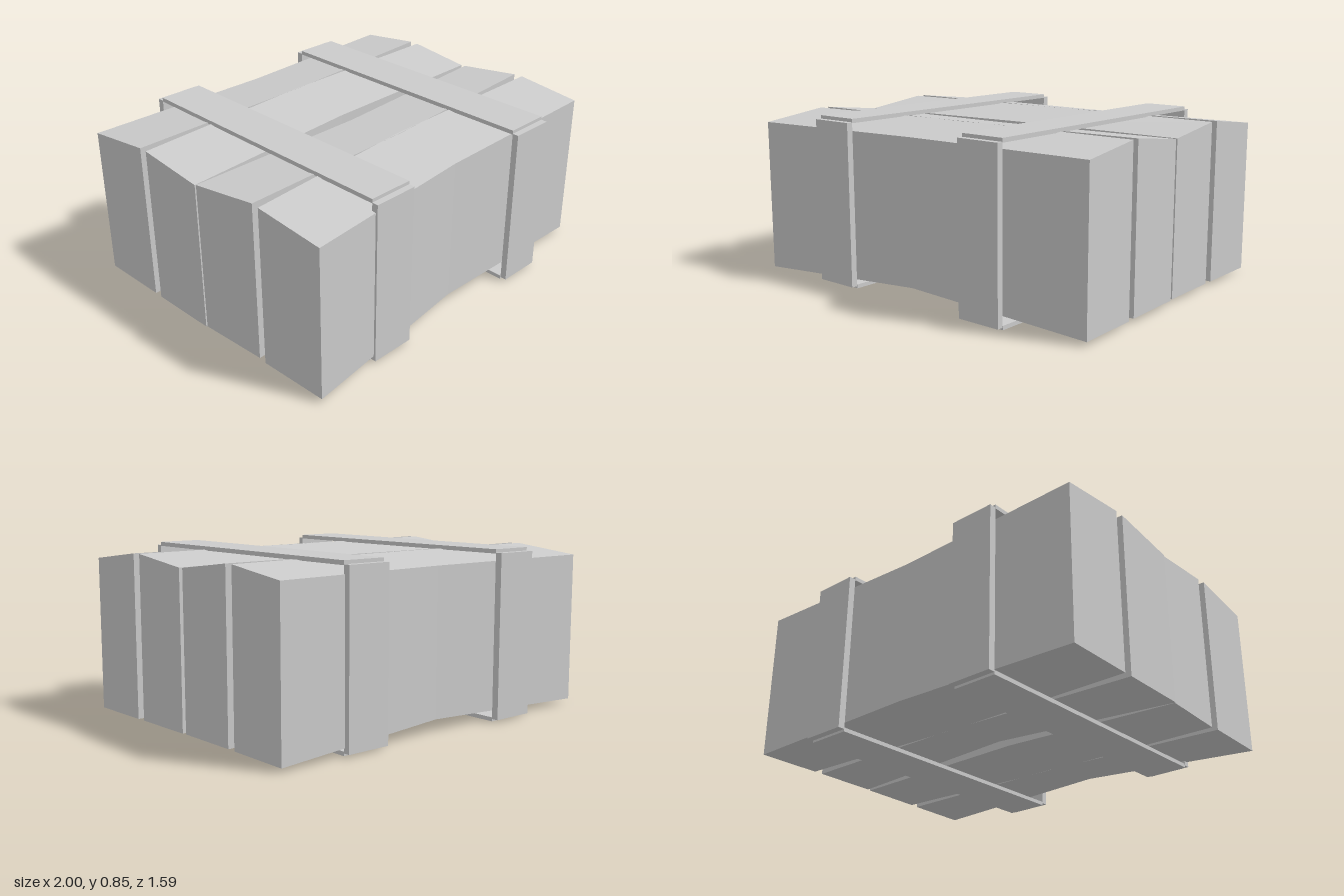
import * as THREE from 'three';

const material = new THREE.MeshStandardMaterial({ color: 0xcccccc, flatShading: true });

// Bent plank: back and front edges in plan as [x, z] at the left end, middle and right end.
// The outer side (back or front) has the lower top edge and an underside arched at the middle.
function plank(name, back, front, outerIsFront) {
  const geometry = new THREE.BoxGeometry(2, 1, 1, 2, 1, 1);
  const p = geometry.attributes.position;
  for (let i = 0; i < p.count; i++) {
    const station = Math.round(p.getX(i)) + 1;
    const isFront = p.getZ(i) > 0;
    const isOuter = isFront === outerIsFront;
    const [x, z] = (isFront ? front : back)[station];
    const top = isOuter ? 0.788 : 0.83;
    const bottom = isOuter && station === 1 ? 0.063 : 0.02;
    p.setXYZ(i, x, p.getY(i) > 0 ? top : bottom, z);
  }
  geometry.computeVertexNormals();
  const mesh = new THREE.Mesh(geometry, material);
  mesh.name = name;
  return mesh;
}

function slat(name, width, y0, y1, z0, z1) {
  const mesh = new THREE.Mesh(new THREE.BoxGeometry(width, y1 - y0, z1 - z0), material);
  mesh.position.set(0, (y0 + y1) / 2, (z0 + z1) / 2);
  mesh.name = name;
  return mesh;
}

export function createModel() {
  const model = new THREE.Group();
  model.name = 'crate';

  // Four thick planks, alternately turned around
  model.add(
    plank('backPlank',
      [[-1, -0.74], [0, -0.735], [0.945, -0.793]],
      [[-0.99, -0.38], [0, -0.4], [0.95, -0.46]], false),
    plank('innerBackPlank',
      [[-0.99, -0.335], [0, -0.405], [0.95, -0.413]],
      [[-0.98, 0.022], [0, -0.06], [0.96, -0.08]], true),
    plank('innerFrontPlank',
      [[-0.975, 0.025], [0, 0.015], [0.965, -0.06]],
      [[-0.95, 0.385], [0, 0.35], [0.98, 0.275]], false),
    plank('frontPlank',
      [[-0.955, 0.43], [0, 0.34], [0.985, 0.32]],
      [[-0.94, 0.79], [0, 0.69], [1, 0.655]], true),
  );

  // Two bands of slats wrapped around the planks
  for (const [name, x] of [['rightBand', -0.475], ['leftBand', 0.48]]) {
    const band = new THREE.Group();
    band.name = name;
    band.add(
      slat('topSlat', 0.23, 0.826, 0.847, -0.762, 0.73),
      slat('bottomSlat', 0.23, 0, 0.02, -0.762, 0.727),
      slat('frontSlat', 0.23, 0.012, 0.83, 0.73, 0.762),
      slat('backSlat', 0.23, 0.012, 0.83, -0.797, -0.762),
    );
    band.position.x = x;
    band.rotation.y = 0.009;
    model.add(band);
  }
  return model;
}
